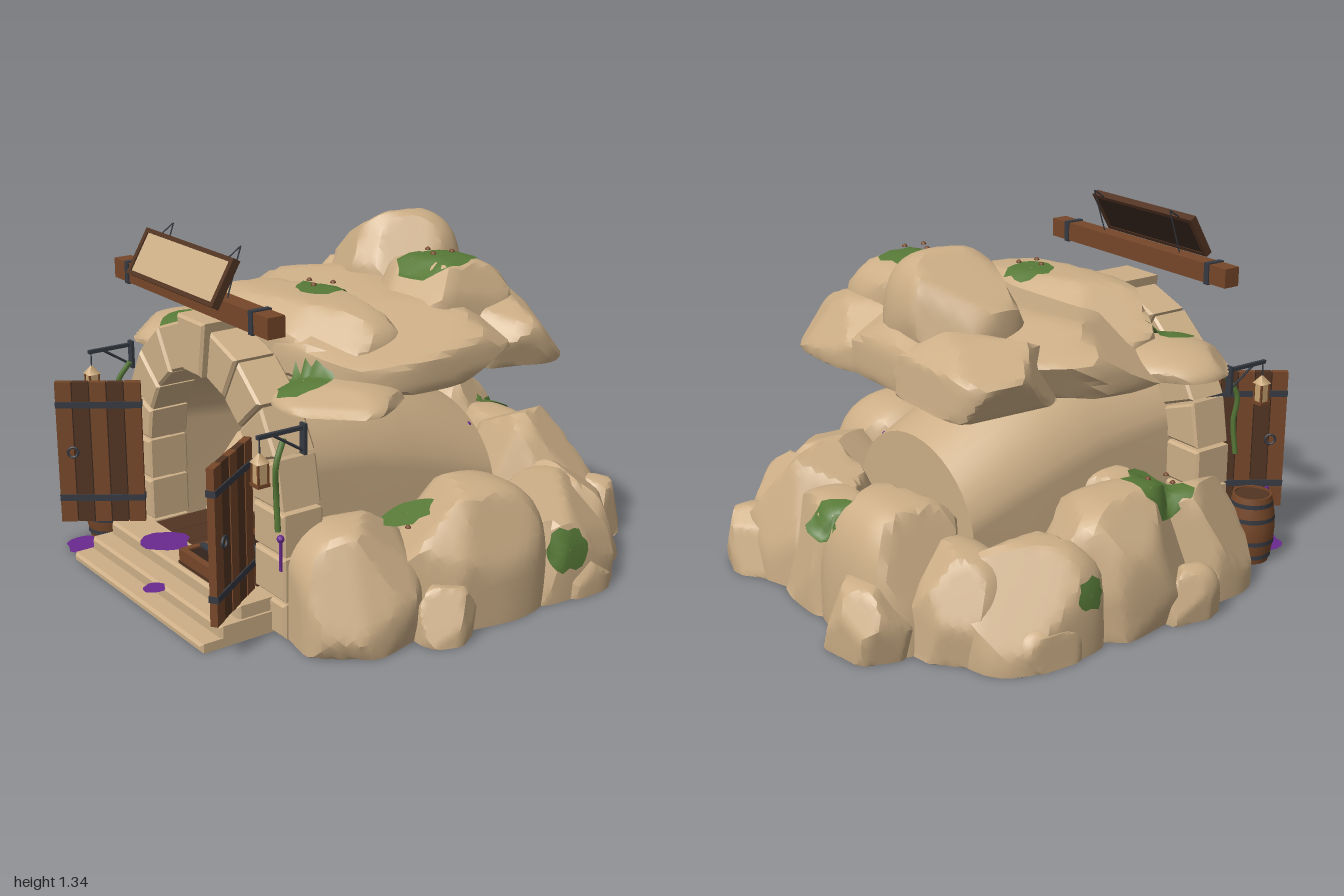
import * as THREE from 'three';
import { toCreasedNormals } from 'three/addons/utils/BufferGeometryUtils.js';

const mat = (name, color, side = THREE.FrontSide) => {
  const m = new THREE.MeshStandardMaterial({ color, side });
  m.name = name;
  return m;
};

let seed = 7;
const rnd = () => ((seed = (seed * 16807) % 2147483647) / 2147483647);

export function createModel() {
  seed = 7;
  const M = {
    rock: mat('sandstone', 0xcdaf87, THREE.DoubleSide),
    wood: mat('wood', 0x764729),
    darkWood: mat('darkWood', 0x523422),
    frame: mat('shadowWood', 0x33241b),
    iron: mat('iron', 0x363a42),
    moss: mat('moss', 0x587a38, THREE.DoubleSide),
    slime: mat('slime', 0x6a2a90, THREE.DoubleSide),
    pit: mat('darkFloor', 0x240c0c),
    glass: mat('lanternGlass', 0xc8a472),
  };
  const root = new THREE.Group();
  const add = (name, geo, m, parent = root, x = 0, y = 0, z = 0) => {
    const o = new THREE.Mesh(geo, m);
    o.name = name;
    o.position.set(x, y, z);
    parent.add(o);
    return o;
  };
  const group = (name, x = 0, y = 0, z = 0) => {
    const g = new THREE.Group();
    g.name = name;
    g.position.set(x, y, z);
    root.add(g);
    return g;
  };
  const box = (name, m, w, h, d, x, y, z, parent) =>
    add(name, new THREE.BoxGeometry(w, h, d), m, parent, x, y, z);
  const rod = (name, m, a, b, r, parent) => {
    const A = new THREE.Vector3(...a), B = new THREE.Vector3(...b);
    const o = add(name, new THREE.CylinderGeometry(r, r, A.distanceTo(B), 6), m, parent);
    o.position.copy(A).add(B).multiplyScalar(0.5);
    o.quaternion.setFromUnitVectors(new THREE.Vector3(0, 1, 0), B.sub(A).normalize());
  };

  // Boulders: rounded blocks chipped by random planes, hollow and open at the base
  const rocks = [];
  const boulder = (name, [x, z, rx, top, rz], base = 0, power = 3, lift = 0.15) => {
    const geo = new THREE.IcosahedronGeometry(1, 9);
    const cuts = Array.from({ length: 13 }, () => ({
      n: new THREE.Vector3(rnd() * 2 - 1, rnd() * 1.4 - 0.4, rnd() * 2 - 1).normalize(),
      d: 0.83 + rnd() * 0.2,
    }));
    const p = geo.attributes.position, v = new THREE.Vector3();
    const h = top - base, out = [];
    for (let i = 0; i < p.count; i++) {
      v.fromBufferAttribute(p, i).normalize();
      let r = Math.pow(Math.abs(v.x) ** power + Math.abs(v.y) ** power + Math.abs(v.z) ** power, -1 / power);
      for (const c of cuts) {
        const k = v.dot(c.n);
        if (k > 0.01) r = Math.min(r, c.d / k);
      }
      v.multiplyScalar(r);
      out.push(x + v.x * rx, Math.max(base, base + h * (lift + v.y * (1 - lift))), z + v.z * rz);
    }
    const open = [];
    for (let i = 0; i < out.length; i += 9)
      if (Math.max(out[i + 1], out[i + 4], out[i + 7]) > base) open.push(...out.slice(i, i + 9));
    const shell = new THREE.BufferGeometry();
    shell.setAttribute('position', new THREE.Float32BufferAttribute(open, 3));
    rocks.push(add(name, toCreasedNormals(shell, 0.45), M.rock));
  };

  // Lower ring of boulders
  boulder('frontBoulder', [0.63, 0.43, 0.24, 0.42, 0.28]);
  boulder('frontBoulder', [-0.63, 0.39, 0.24, 0.43, 0.25]);
  for (const s of [-1, 1]) {
    boulder('sideBoulder', [s * 0.68, 0.03, 0.24, 0.48, 0.34]);
    boulder('rearSideBoulder', [s * 0.66, -0.38, 0.25, 0.4, 0.29]);
    boulder('cornerBoulder', [s * 0.55, -0.6, 0.22, 0.38, 0.2]);
    boulder('backBoulder', [s * 0.28, -0.67, 0.28, 0.51, 0.23]);
    boulder('smallSideBoulder', [s * 0.86, 0.22, 0.1, 0.2, 0.12]);
    boulder('smallRearBoulder', [s * 0.83, -0.42, 0.1, 0.16, 0.14]);
  }
  boulder('backBoulder', [0, -0.72, 0.26, 0.42, 0.18]);
  boulder('outerBackBoulder', [-0.4, -0.86, 0.17, 0.27, 0.14]);
  boulder('outerBackBoulder', [0.45, -0.84, 0.16, 0.24, 0.14]);
  boulder('innerBoulder', [-0.38, 0.25, 0.17, 0.42, 0.2]);

  // Overhanging cap of rock above the tunnel
  boulder('capRock', [-0.01, -0.04, 0.65, 1.08, 0.54], 0.82, 3.6, 0.3);
  [
    [0.03, 0.28, 0.48, 1.1, 0.27], [-0.13, -0.3, 0.24, 1.3, 0.23],
    [0.26, -0.2, 0.26, 1.19, 0.25], [-0.35, -0.36, 0.3, 1.06, 0.25], [0.34, -0.36, 0.29, 1.06, 0.25],
  ].forEach((b) => boulder('capRock', b, 0.82, 3.2, 0.3));
  boulder('capLedge', [-0.47, 0.43, 0.26, 0.92, 0.23], 0.82, 2, 0);
  boulder('capLedge', [0.5, 0.43, 0.25, 0.89, 0.23], 0.82, 2, 0);

  // Tunnel: arched cross-sections sinking to the back, closed by a wall
  const N = 20;
  const pos = [], idx = [];
  const sections = [[0.6, 0.83], [0.2, 0.825], [0, 0.775], [-0.2, 0.685], [-0.4, 0.57]];
  sections.forEach(([z, top], k) => {
    const spring = 0.47 - k * 0.055;
    for (let i = 0; i <= N; i++) {
      const a = (i / N) * Math.PI;
      const foot = i === 0 || i === N;
      pos.push(0.39 * Math.cos(a), foot ? 0 : spring + (top - spring) * Math.sin(a), z);
      if (k && i < N) {
        const q = k * (N + 1) + i, o = q - N - 1;
        idx.push(o, q, o + 1, q, q + 1, o + 1);
      }
    }
  });
  const tunnelGeo = new THREE.BufferGeometry();
  tunnelGeo.setAttribute('position', new THREE.Float32BufferAttribute(pos, 3));
  tunnelGeo.setIndex(idx);
  tunnelGeo.computeVertexNormals();
  add('tunnel', tunnelGeo, M.rock);
  const wall = new THREE.Shape();
  for (let i = 0; i <= N; i++) {
    const j = (sections.length - 1) * (N + 1) + i;
    wall[i ? 'lineTo' : 'moveTo'](pos[j * 3], pos[j * 3 + 1]);
  }
  add('tunnelBackWall', new THREE.ShapeGeometry(wall), M.rock, root, 0, 0, -0.4);

  // Stone arch of bevelled blocks
  const bevelled = (pts, depth) => new THREE.ExtrudeGeometry(
    new THREE.Shape(pts.map((q) => new THREE.Vector2(...q))),
    { depth: depth - 0.02, bevelSize: 0.01, bevelThickness: 0.01, bevelOffset: -0.01, bevelSegments: 1 });
  const arch = group('stoneArch');
  for (let i = 0; i < 9; i++) {
    const key = i === 4, r0 = 0.37, r1 = key ? 0.58 : 0.55, half = THREE.MathUtils.degToRad(9.4);
    const pts = [[r0, -half], [r1, -half], [r1, half], [r0, half]].map(([r, a]) => [r * Math.cos(a), r * Math.sin(a)]);
    const w = add('archStone', bevelled(pts, key ? 0.19 : 0.17), M.rock, arch, 0, 0.47, 0.54);
    w.rotation.z = THREE.MathUtils.degToRad(10 + i * 20);
  }
  const rect = (w, h) => [[-w / 2, 0], [w / 2, 0], [w / 2, h], [-w / 2, h]];
  for (const s of [-1, 1]) {
    [[0, 0.13], [0.14, 0.16], [0.31, 0.155]].forEach(([y, h]) =>
      add('pillarStone', bevelled(rect(0.19, h), 0.17), M.rock, arch, s * 0.465, y, 0.54));
  }

  // Steps, planks and dark floor
  [[0.96, 0.035, 0.99], [0.96, 0.08, 0.91], [0.94, 0.13, 0.83]].forEach(([w, h, z]) =>
    add('step', bevelled(rect(w, h), z - 0.68), M.rock, root, 0, 0, 0.69));
  for (let i = 0; i < 6; i++) box('floorPlank', M.darkWood, 0.118, 0.02, 0.42, -0.3 + i * 0.12, 0.12, 0.48);
  box('darkFloor', M.pit, 0.8, 0.02, 1.1, 0, 0.015, 0.13);

  // Open doors with iron straps and ring handles
  for (const s of [-1, 1]) {
    const d = group('door', s * 0.38, 0.14, 0.72);
    d.rotation.y = s > 0 ? -0.957 : Math.PI + 0.957;
    for (let i = 0; i < 5; i++)
      box('doorPlank', i % 2 ? M.darkWood : M.wood, 0.062, 0.57, i % 2 ? 0.024 : 0.028, 0.034 + i * 0.066, 0.285, 0, d);
    box('doorCore', M.frame, 0.32, 0.56, 0.016, 0.165, 0.285, 0, d);
    for (const y of [0.1, 0.48]) box('doorStrap', M.iron, 0.33, 0.025, 0.036, 0.165, y, 0, d);
    for (const z of [-0.02, 0.02])
      add('ringHandle', new THREE.TorusGeometry(0.02, 0.005, 6, 14), M.iron, d, 0.27, 0.29, z);
  }

  // Beam with iron collars, and tilted sign hung from rods
  box('beam', M.wood, 1.06, 0.075, 0.07, 0, 1.128, 0.695);
  for (const s of [-1, 1]) {
    box('beamCollar', M.iron, 0.025, 0.085, 0.08, s * 0.43, 1.128, 0.695);
    rod('signRod', M.iron, [s * 0.23, 1.3, 0.7], [s * 0.23, 1.34, 0.64], 0.003);
    rod('signRod', M.iron, [s * 0.23, 1.34, 0.64], [s * 0.23, 1.16, 0.7], 0.003);
  }
  const sign = group('sign', 0, 1.235, 0.745);
  sign.rotation.x = -0.53;
  box('signBack', M.frame, 0.58, 0.17, 0.015, 0, 0, -0.005, sign);
  box('signFace', M.rock, 0.56, 0.155, 0.008, 0, 0, 0.006, sign);
  for (const s of [-1, 1]) {
    box('signFrame', M.darkWood, 0.6, 0.016, 0.03, 0, s * 0.083, 0, sign);
    box('signFrame', M.darkWood, 0.02, 0.18, 0.03, s * 0.29, 0, 0, sign);
  }

  // Lanterns on brackets, with vines beside them
  for (const s of [-1, 1]) {
    const l = group('lantern', s * 0.6, 0, 0);
    box('bracketPlate', M.iron, 0.03, 0.11, 0.012, 0, 0.75, 0.64, l);
    box('bracketArm', M.iron, 0.014, 0.014, 0.19, 0, 0.79, 0.73, l);
    rod('bracketBrace', M.iron, [0, 0.71, 0.645], [0, 0.785, 0.76], 0.005, l);
    rod('lanternHook', M.iron, [0, 0.79, 0.815], [0, 0.73, 0.815], 0.003, l);
    const roof = add('lanternRoof', new THREE.ConeGeometry(0.036, 0.035, 4), M.glass, l, 0, 0.72, 0.815);
    roof.rotation.y = Math.PI / 4;
    box('lanternGlass', M.glass, 0.038, 0.07, 0.038, 0, 0.665, 0.815, l);
    box('lanternBase', M.wood, 0.05, 0.012, 0.05, 0, 0.625, 0.815, l);
    for (const a of [-1, 1]) for (const b of [-1, 1])
      box('lanternPost', M.wood, 0.007, 0.08, 0.007, a * 0.019, 0.665, 0.815 + b * 0.019, l);
    const curve = new THREE.CatmullRomCurve3([[0.54, 0.74, 0.68], [0.56, 0.66, 0.725], [0.55, 0.55, 0.72], [0.565, 0.42, 0.725]]
      .map(([x, y, z]) => new THREE.Vector3(s * x, y, z)));
    add('vine', new THREE.TubeGeometry(curve, 12, 0.011, 5), M.moss);
  }

  // Barrel
  const barrel = group('barrel', -0.645, 0, 0.75);
  const bulge = [[0, 0], [0.075, 0], [0.09, 0.07], [0.095, 0.138], [0.09, 0.205], [0.077, 0.275], [0.07, 0.275], [0.07, 0.262]];
  add('barrelBody', toCreasedNormals(new THREE.LatheGeometry(bulge.map((q) => new THREE.Vector2(...q)), 18), 0.6), M.wood, barrel);
  add('barrelLid', new THREE.CylinderGeometry(0.071, 0.071, 0.01, 18), M.darkWood, barrel, 0, 0.262, 0);
  for (const [y, r] of [[0.03, 0.084], [0.09, 0.094], [0.185, 0.094], [0.245, 0.085]])
    add('barrelHoop', new THREE.CylinderGeometry(r, r, 0.018, 18, 1, true), M.iron, barrel, 0, y, 0);
  box('barrelDrip', M.slime, 0.014, 0.07, 0.01, 0.01, 0.24, 0.09, barrel);

  // Loose hatch lying on the porch: dark panel, wooden frame, iron straps
  const hatch = group('hatch', 0.19, 0.175, 0.66);
  box('hatchPanel', M.frame, 0.24, 0.03, 0.29, 0, 0, 0, hatch);
  for (const s of [-1, 1]) {
    box('hatchRail', M.wood, 0.28, 0.045, 0.025, 0, 0, s * 0.15, hatch);
    box('hatchStile', M.wood, 0.025, 0.045, 0.3, s * 0.13, 0, 0, hatch);
    box('hatchStrap', M.iron, 0.27, 0.012, 0.025, 0, 0.018, s * 0.07, hatch);
    box('hatchFoot', M.darkWood, 0.03, 0.025, 0.3, s * 0.09, -0.03, 0, hatch);
  }
  box('hatchBattens', M.darkWood, 0.3, 0.012, 0.04, 0.19, 0.142, 0.8);

  // Slime puddles and drips
  const blob = (r) => new THREE.Shape(Array.from({ length: 14 }, (_, i) => {
    const a = (i / 14) * Math.PI * 2, k = r * (0.82 + rnd() * 0.25);
    return new THREE.Vector2(k * Math.cos(a), k * Math.sin(a));
  }));
  for (const [x, y, z, r] of [[-0.58, 0.006, 0.88, 0.09], [-0.16, 0.137, 0.76, 0.095], [0.09, 0.09, 0.95, 0.045]])
    add('slimePuddle', new THREE.ShapeGeometry(blob(r)), M.slime, root, x, y, z).rotation.x = -Math.PI / 2;
  for (const [x, y, z] of [[0.26, 0.43, -0.37], [0.565, 0.33, 0.715]]) {
    box('slimeDrip', M.slime, 0.01, 0.12, 0.008, x, y, z);
    add('slimeDripHead', new THREE.SphereGeometry(0.014, 8, 6), M.slime, root, x, y + 0.06, z);
  }

  // Moss patches laid along the rock's own slope, some with tiny mushrooms
  const ray = new THREE.Raycaster();
  const cast = (o, d) => {
    ray.set(o.clone().addScaledVector(d, -0.8), d);
    return ray.intersectObjects(rocks, false)[0];
  };
  const moss = (target, dir, r, shrooms) => {
    const first = cast(new THREE.Vector3(...target), new THREE.Vector3(...dir).normalize());
    if (!first) return;
    const c = first.point, d = new THREE.Vector3(...dir).normalize().sub(first.face.normal).normalize();
    const q = new THREE.Quaternion().setFromUnitVectors(new THREE.Vector3(0, 0, 1), d.clone().negate());
    const geo = new THREE.RingGeometry(0.002, r, 18, 4), p = geo.attributes.position, v = new THREE.Vector3();
    const edge = Array.from({ length: 18 }, () => 0.8 + rnd() * 0.35);
    for (let i = 0; i < p.count; i++) {
      v.fromBufferAttribute(p, i).multiplyScalar(edge[(i % 19) % 18]).applyQuaternion(q).add(c);
      const hit = cast(v, d);
      v.addScaledVector(d, THREE.MathUtils.clamp(hit ? hit.distance - 0.8 : 0, -0.06, 0.06) - 0.007);
      p.setXYZ(i, v.x, v.y, v.z);
    }
    geo.computeVertexNormals();
    add('mossPatch', geo, M.moss);
    if (shrooms) for (const [x, z] of [[-0.04, 0.02], [0.03, 0.05], [0.04, -0.03]])
      add('mushroom', new THREE.SphereGeometry(0.011, 8, 4, 0, Math.PI * 2, 0, Math.PI / 2), M.wood, root, c.x + x, c.y + 0.025, c.z + z);
  };
  const down = [0, -1, 0];
  [[-0.7, 0.22, 0.13, 1], [0.66, 0.21, 0.1, 1], [0.27, -0.2, 0.15, 1], [0.1, 0.22, 0.1, 1],
    [-0.38, 0.5, 0.11, 0], [0.43, 0.52, 0.11, 0], [-0.1, -0.82, 0.1, 0]]
    .forEach(([x, z, r, m]) => moss([x, 0.6, z], down, r, m));
  moss([0.8, 0.17, -0.32], [-1, -0.3, 0], 0.085, 0);
  moss([-0.8, 0.2, -0.26], [1, -0.3, 0], 0.06, 0);
  return root;
}
